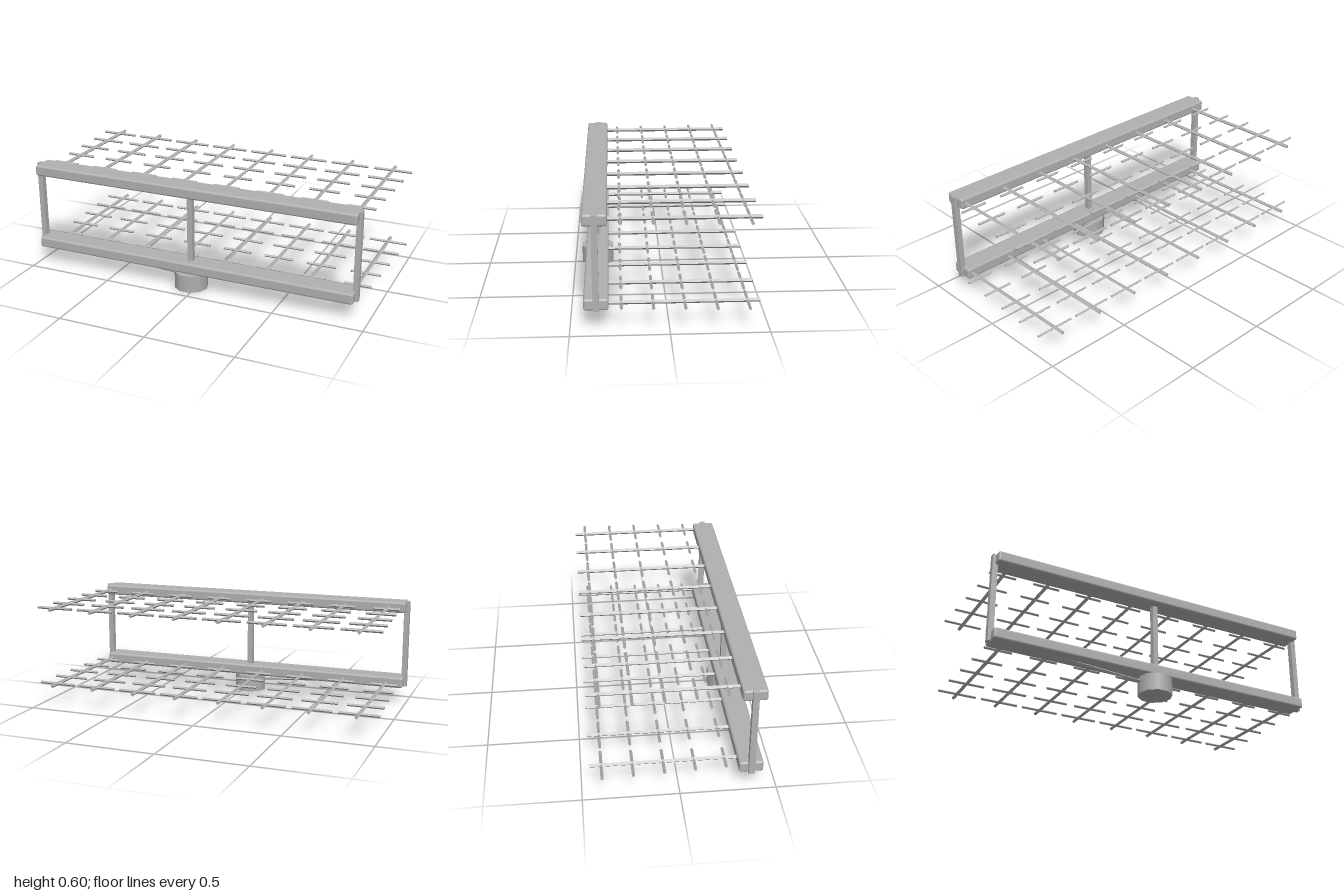
import * as THREE from 'three';
import { RoundedBoxGeometry } from 'three/addons/geometries/RoundedBoxGeometry.js';

const MID_X = -0.032; // centre of the frame
const MID_Z = 0.368;

export function createModel() {
  const model = new THREE.Group();
  model.name = 'antennaArray';
  const metal = new THREE.MeshStandardMaterial({ color: 0xb0b0b0 });
  metal.name = 'grey metal';

  const add = (name, geometry, x, y, z, parent = model) => {
    const mesh = new THREE.Mesh(geometry, metal);
    mesh.name = name;
    mesh.position.set(x, y, z);
    parent.add(mesh);
    return mesh;
  };

  // Four-sided rod with crisp faces, lying along y
  const rodGeometry = (radius, length) => {
    const g = new THREE.CylinderGeometry(radius, radius, length, 4).toNonIndexed();
    g.computeVertexNormals();
    return g;
  };

  // Ten-sided pedestal
  const base = new THREE.CylinderGeometry(0.0945, 0.0945, 0.098, 10);
  base.rotateY(Math.PI / 2);
  add('pedestal', base, MID_X, 0.049, MID_Z);

  // Uprights: both ends and the middle
  for (const [name, x] of [['rightPost', -0.985], ['middlePost', MID_X], ['leftPost', 0.92]]) {
    add(name, new THREE.BoxGeometry(0.03, 0.503, 0.032), x, 0.3515, MID_Z);
  }

  // Sloping brace from the pedestal to the lower beam
  const from = new THREE.Vector3(MID_X, 0.063, MID_Z);
  const to = new THREE.Vector3(-0.62, 0.103, MID_Z);
  const middle = from.clone().add(to).multiplyScalar(0.5);
  const brace = add('brace', rodGeometry(0.008, from.distanceTo(to)), middle.x, middle.y, middle.z);
  brace.quaternion.setFromUnitVectors(new THREE.Vector3(0, 1, 0), to.clone().sub(from).normalize());

  // Each deck is a beam carrying eight booms with graded cross rods
  const boomGeometry = rodGeometry(0.011, 0.826).rotateX(Math.PI / 2);
  const crossGeometries = [0, 1, 2, 3, 4].map(
    (i) => rodGeometry(0.008, 0.152 + i * 0.017).rotateZ(Math.PI / 2));

  for (const [name, y] of [['lowerDeck', 0.129], ['upperDeck', 0.573]]) {
    const deck = new THREE.Group();
    deck.name = name;
    deck.position.y = y;
    model.add(deck);
    add('beam', new RoundedBoxGeometry(1.904, 0.062, 0.126, 3, 0.012), MID_X, 0, MID_Z, deck);

    for (let b = 0; b < 8; b++) {
      const x = -0.89 + b * (1.78 / 7);
      add('boom', boomGeometry, x, 0, -0.045, deck);
      crossGeometries.forEach((g, i) => add('crossRod', g, x, 0, 0.241 - i * 0.159, deck));
    }
  }
  return model;
}
